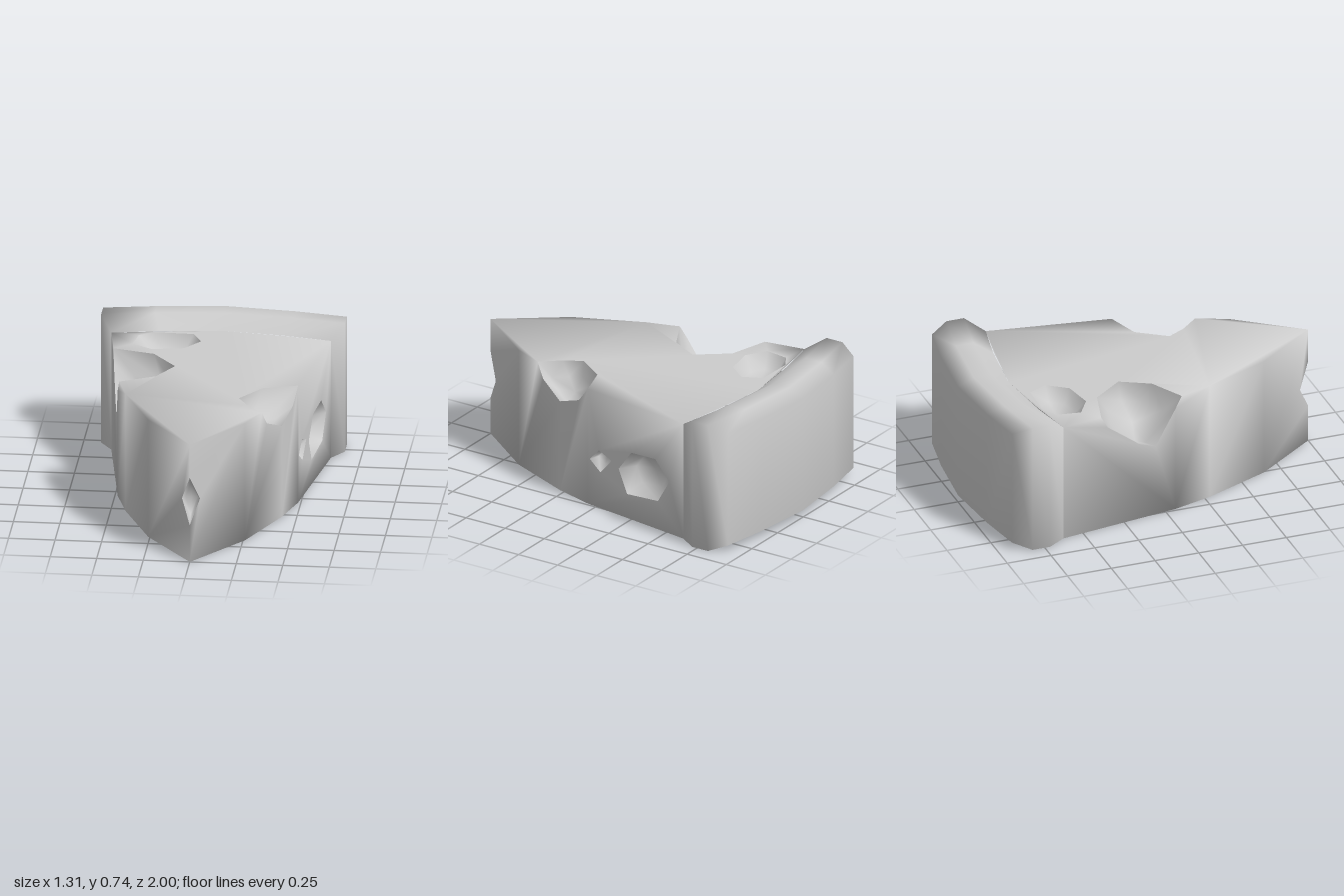
import * as THREE from 'three';
import { mergeGeometries, mergeVertices } from 'three/addons/utils/BufferGeometryUtils.js';

const H = 0.67;                                                   // height of the wedge
const KNOTS = [[1, 0], [0.65, 0.26], [0.28, 0.42], [0.06, 0.485], [-0.62, 0.59]]; // z, half width
const material = new THREE.MeshStandardMaterial({ color: 0xcccccc });
const hollow = new THREE.MeshStandardMaterial({ color: 0xcccccc, side: THREE.DoubleSide });

// half width of the wedge at a given z
function halfWidth(z) {
  for (let i = 1; i < KNOTS.length; i++) {
    const [z0, x0] = KNOTS[i - 1], [z1, x1] = KNOTS[i];
    if (z >= z1) return x0 + (x1 - x0) * (z - z0) / (z1 - z0);
  }
  return 0.59;
}

const v2 = (pts) => pts.map(([a, b]) => new THREE.Vector2(a, b));

// flat shape whose vertices are placed in space by a rule
function face(outline, holes, place) {
  const shape = new THREE.Shape(v2(outline));
  holes.forEach((h) => shape.holes.push(new THREE.Path(v2(h))));
  const geo = new THREE.ShapeGeometry(shape);
  geo.deleteAttribute('uv');
  geo.deleteAttribute('normal');
  const p = geo.attributes.position;
  for (let i = 0; i < p.count; i++) p.setXYZ(i, ...place(p.getX(i), p.getY(i)));
  return geo;
}

function mesh(name, geo, mat = material) {
  geo.computeVertexNormals();
  const m = new THREE.Mesh(geo, mat);
  m.name = name;
  return m;
}

function indexed(points, index) {
  const geo = new THREE.BufferGeometry();
  geo.setAttribute('position', new THREE.Float32BufferAttribute(points.flat(), 3));
  geo.setIndex(index);
  return geo;
}

// bowl from a rim loop down to its deepest point
function pit(name, rim, deep, spread = 0.65, fall = 0.75) {
  const n = rim.length, c = [0, 1, 2].map((k) => rim.reduce((s, p) => s + p[k], 0) / n);
  const ring = rim.map((p) => p.map((v, k) => c[k] + (v - c[k]) * spread + (deep[k] - c[k]) * fall));
  const index = [];
  for (let i = 0; i < n; i++) {
    const j = (i + 1) % n;
    index.push(i, j, n + j, i, n + j, n + i, n + i, n + j, 2 * n);
  }
  return mesh(name, indexed([...rim, ...ring, deep], index), hollow);
}

export function createModel() {
  const group = new THREE.Group();

  // bites out of the top edges: along the side (z, y) and across the top (x, z)
  const rightSide = [[0.48, H], [0.43, 0.59], [0.28, 0.52], [0.13, 0.58], [0.06, H]];
  const rightTop = [[0.3, 0.12], [0.19, 0.28], [0.245, 0.38]];
  const leftSide = [[0.1, H], [0.06, 0.605], [-0.06, 0.41], [-0.16, 0.45], [-0.35, 0.6], [-0.39, H]];
  const leftTop = [[-0.33, -0.33], [-0.2, -0.16], [-0.285, 0]];

  // holes inside the faces
  const topHole = [[-0.46, -0.47], [-0.44, -0.6], [-0.36, -0.65], [-0.15, -0.645],
    [-0.1, -0.54], [-0.18, -0.43], [-0.35, -0.4]];
  const bigHole = [[-0.16, 0.27], [-0.25, 0.39], [-0.42, 0.405], [-0.52, 0.3], [-0.44, 0.165], [-0.22, 0.14]];
  const smallHole = [[0.045, 0.265], [-0.02, 0.335], [-0.11, 0.3], [-0.03, 0.21]];

  // wedge skin: side panels between the knots
  const parts = [];
  const tops = {
    1: [[1, H], [0.65, H], ...rightSide, [-0.62, H]],
    [-1]: [[1, H], [0.65, H], [0.28, H], ...leftSide, [-0.62, H]],
  };
  for (const s of [1, -1]) {
    for (let i = 1; i < KNOTS.length; i++) {
      const z0 = KNOTS[i - 1][0], z1 = KNOTS[i][0];
      const outline = [...tops[s].filter(([z]) => z <= z0 && z >= z1), [z1, 0], [z0, 0]];
      if (i === 1) outline.push([1, 0.21], [0.935, 0.34], [1, 0.48]);
      const holes = s > 0 && i === 4 ? [bigHole, smallHole] : [];
      const flip = (pts) => pts.map(([z, y]) => [-s * z, y]);
      parts.push(face(flip(outline), holes.map(flip), (u, y) => [s * halfWidth(-s * u), y, -s * u]));
    }
  }

  // wedge skin: top and bottom
  const edge = (s) => KNOTS.map(([z, x]) => [s * x, z]);
  const back = [[0.336, -0.666], [0, -0.71], [-0.336, -0.666]];
  const top = [[0, 1], [0.26, 0.65], [halfWidth(0.48), 0.48], ...[...rightTop].reverse(),
    [halfWidth(0.06), 0.06], [0.59, -0.62], ...back, [-0.59, -0.62],
    [-halfWidth(-0.39), -0.39], ...leftTop, [-halfWidth(0.1), 0.1], [-0.42, 0.28], [-0.26, 0.65]];
  const turn = (pts) => pts.map(([x, z]) => [x, -z]);
  parts.push(face(turn(top), [turn(topHole)], (x, v) => [x, H, -v]));
  const base = [...edge(1), ...back, ...edge(-1).reverse().slice(0, -1)];
  parts.push(face(base, [], (x, z) => [x, 0, z]));
  group.add(mesh('cheeseWedge', mergeVertices(mergeGeometries(parts), 1e-4)));

  // hollows
  const onSide = (s) => ([z, y]) => [s * halfWidth(z), y, z];
  const onTop = ([x, z]) => [x, H, z];
  group.add(pit('rightEdgeBite', [...rightSide.map(onSide(1)), ...rightTop.map(onTop)], [0.29, 0.53, 0.27]));
  group.add(pit('leftEdgeBite', [...leftSide.map(onSide(-1)), ...leftTop.map(onTop)], [-0.33, 0.48, -0.13]));
  group.add(pit('topHole', topHole.map(onTop), [-0.28, 0.57, -0.54]));
  group.add(pit('bigSideHole', bigHole.map(onSide(1)), [0.43, 0.28, -0.34]));
  group.add(pit('smallSideHole', smallHole.map(onSide(1)), [0.43, 0.28, -0.03]));
  const w = halfWidth(0.935);
  group.add(pit('tipNotch', [[0, 0.21, 1], [w, 0.34, 0.935], [0, 0.48, 1], [-w, 0.34, 0.935]], [0, 0.34, 0.91]));

  // rind: rings from front to back, bowed backwards in the middle
  const rings = [[0.59, 0, H, -0.62], [0.655, 0, 0.735, -0.72], [0.655, 0, 0.735, -0.82], [0.61, 0.04, 0.695, -0.92]];
  const steps = [-1, -0.57, 0, 0.57, 1];
  const points = [], index = [];
  rings.forEach(([hw, y0, y1, z], k) => {
    const at = (s, y) => points.push([s * hw, y, z - (k === 3 ? 0.08 : 0.09) * (1 - Math.abs(s) ** 1.5)]);
    steps.forEach((s) => at(s, y1));
    steps.forEach((s) => at(-s, y0));
    if (k === 3) return;
    for (let i = 0; i < 10; i++) {
      const a = k * 10 + i, b = k * 10 + (i + 1) % 10;
      index.push(a, b, b + 10, a, b + 10, a + 10);
    }
  });
  for (let i = 0; i < 4; i++) index.push(30 + i, 31 + i, 38 - i, 30 + i, 38 - i, 39 - i);
  group.add(mesh('rind', indexed(points, index)));

  return group;
}
